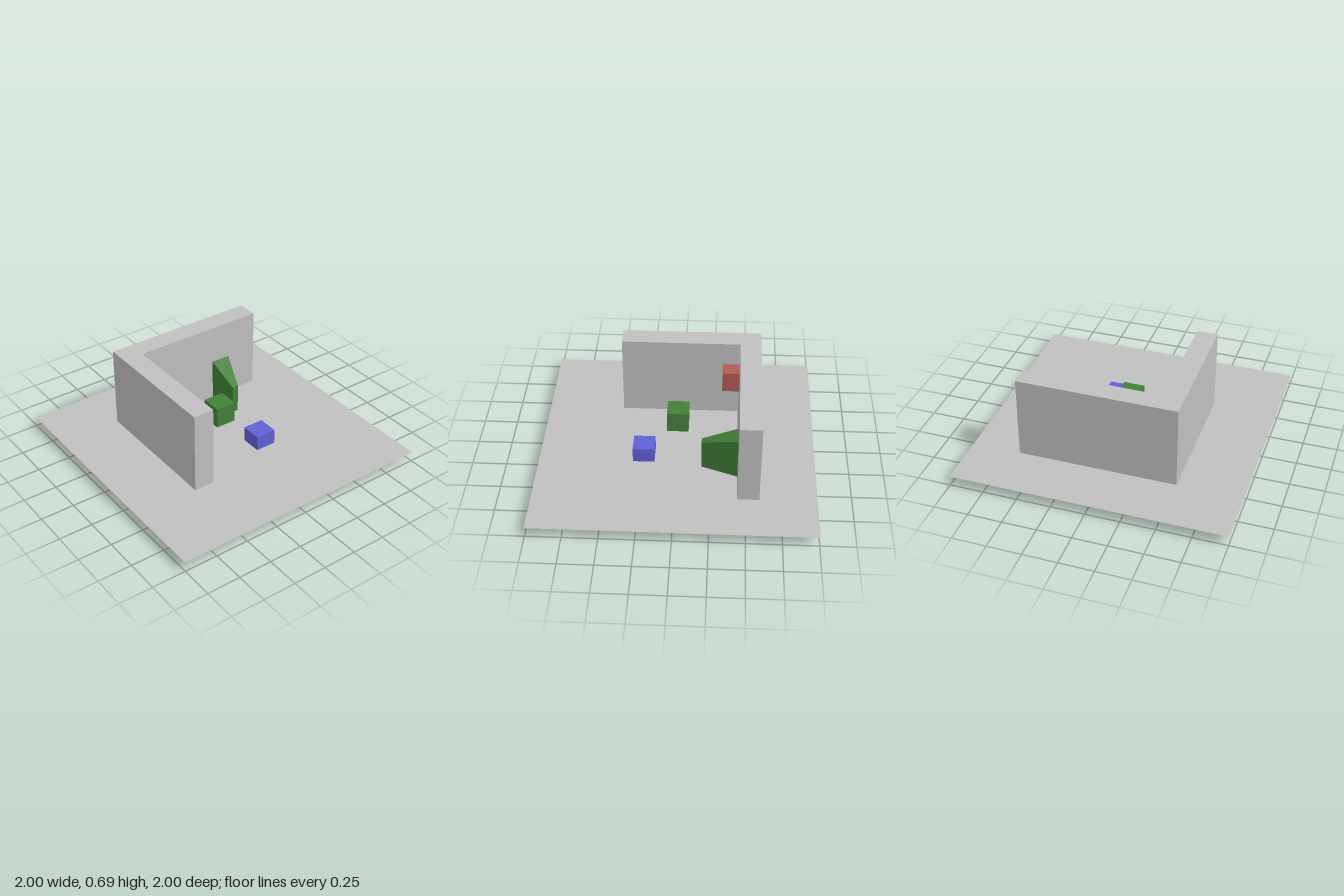
import * as THREE from 'three';

const material = (name, color, side = THREE.FrontSide) => {
  const m = new THREE.MeshStandardMaterial({ color, side });
  m.name = name;
  return m;
};

export function createModel() {
  const model = new THREE.Group();
  model.name = 'roomCorner';

  const grey = material('grey', 0xc0c0c0, THREE.DoubleSide);
  const red = material('red', 0xb05c52);
  const green = material('green', 0x438039);
  const blue = material('blue', 0x6060d8);

  const add = (name, geometry, mat, x = 0, y = 0, z = 0) => {
    const mesh = new THREE.Mesh(geometry, mat);
    mesh.name = name;
    mesh.position.set(x, y, z);
    model.add(mesh);
  };

  // Flat ground sheet, crossed by the walls and the blue block
  add('floor', new THREE.PlaneGeometry(2, 2).rotateX(-Math.PI / 2), grey, 0, 0.075, 0);

  // L-shaped wall: plan drawn as (x, -z), then raised
  const plan = new THREE.Shape([
    [-0.525, -0.435], [-0.37, -0.435], [-0.37, 0.44],
    [0.64, 0.44], [0.64, 0.595], [-0.525, 0.595],
  ].map(([x, y]) => new THREE.Vector2(x, y)));
  const walls = new THREE.ExtrudeGeometry(plan, { depth: 0.69, bevelEnabled: false });
  add('cornerWalls', walls.rotateX(-Math.PI / 2), grey);

  // Three equal blocks, the red one set into the corner
  const block = new THREE.BoxGeometry(0.157, 0.157, 0.157);
  add('redBlock', block, red, -0.324, 0.433, -0.393);
  add('greenBlock', block, green, -0.001, 0.295, 0);
  add('blueBlock', block, blue, 0.185, 0.109, 0.239);

  // Buttress: a box that narrows and drops towards the front
  const buttress = new THREE.BoxGeometry(1, 1, 1);
  const p = buttress.attributes.position;
  for (let i = 0; i < p.count; i++) {
    const front = p.getZ(i) > 0;
    p.setXYZ(
      i,
      p.getX(i) < 0 ? 0.252 : front ? 0.3 : 0.4,
      p.getY(i) < 0 ? 0.072 : front ? 0.297 : 0.396,
      front ? -0.18 : -0.442,
    );
  }
  buttress.computeVertexNormals();
  add('buttress', buttress, green);

  return model;
}
